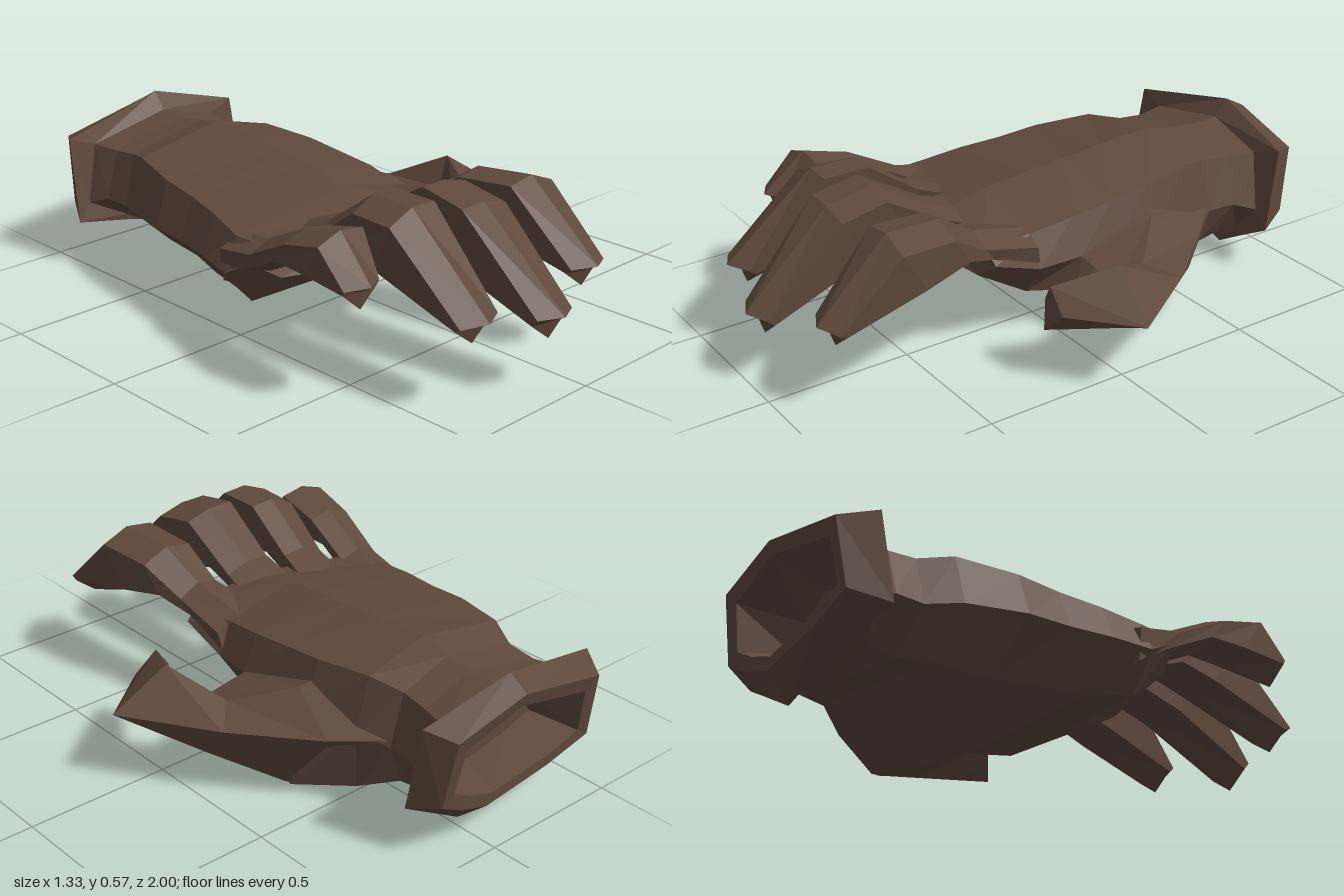
import * as THREE from 'three';

const material = new THREE.MeshStandardMaterial({
  color: 0x5f483d, flatShading: true, roughness: 0.9, side: THREE.DoubleSide,
});

// Skin a closed solid over rings of [x, y, z] points, capped at both ends.
function loft(name, rings) {
  const n = rings[0].length;
  const pos = rings.flat(2);
  const index = [];
  for (let r = 0; r < rings.length - 1; r++) {
    for (let i = 0; i < n; i++) {
      const a = r * n + i, b = r * n + (i + 1) % n;
      index.push(a, b, b + n, a, b + n, a + n);
    }
  }
  [0, rings.length - 1].forEach((r, end) => {
    const c = pos.length / 3;
    for (let k = 0; k < 3; k++) pos.push(rings[r].reduce((s, p) => s + p[k] / n, 0));
    for (let i = 0; i < n; i++) {
      const a = r * n + i, b = r * n + (i + 1) % n;
      index.push(...(end ? [a, b, c] : [b, a, c]));
    }
  });
  // Turn the solid outward if the rings ran the other way.
  const v = (i) => new THREE.Vector3().fromArray(pos, i * 3);
  let volume = 0;
  for (let i = 0; i < index.length; i += 3) {
    volume += v(index[i]).dot(v(index[i + 1]).cross(v(index[i + 2])));
  }
  if (volume < 0) index.reverse();
  const indexed = new THREE.BufferGeometry();
  indexed.setAttribute('position', new THREE.Float32BufferAttribute(pos, 3));
  indexed.setIndex(index);
  const geometry = indexed.toNonIndexed();
  geometry.computeVertexNormals();
  const mesh = new THREE.Mesh(geometry, material);
  mesh.name = name;
  return mesh;
}

// Eight-sided section: gently peaked back of the hand, sides, three points below.
function handRing(z, xL, xR, top, side, bL, bM, bR, { tilt = 0, bow = 0, drop = 0.06, inset = 0.05 } = {}) {
  return [
    [-0.1 + (xL + xR + 0.3) / 4, top], [xR - inset, top - drop], [xR, side],
    bR, bM, bL, [xL, side], [xL + inset, top - drop],
  ].map(([x, y]) => [x, y, z - tilt * y - bow * (x + 0.1) ** 2]);
}

function buildPalm() {
  return loft('palm', [
    handRing(-0.77, -0.44, 0.14, 0.475, 0.25, [-0.30, 0.14], [-0.05, 0.09], [0.06, 0.11]),
    handRing(-0.67, -0.44, 0.13, 0.485, 0.25, [-0.30, 0.13], [-0.05, 0.10], [0.08, 0.11]),
    handRing(-0.56, -0.49, 0.17, 0.51, 0.27, [-0.34, 0.13], [-0.04, 0.06], [0.16, 0.07]),
    handRing(-0.36, -0.545, 0.20, 0.495, 0.28, [-0.37, 0.13], [0.02, 0.0], [0.26, 0.02]),
    handRing(-0.21, -0.56, 0.20, 0.48, 0.28, [-0.42, 0.13], [0.01, 0.03], [0.23, 0.04]),
    handRing(-0.06, -0.59, 0.20, 0.465, 0.28, [-0.46, 0.135], [0.0, 0.14], [0.17, 0.145]),
    handRing(0.10, -0.62, 0.18, 0.44, 0.27, [-0.52, 0.15], [-0.2, 0.15], [0.1, 0.155], { bow: 0.1 }),
    handRing(0.30, -0.61, 0.18, 0.40, 0.33, [-0.52, 0.27], [-0.2, 0.25], [0.1, 0.27], { bow: 0.45, drop: 0.02 }),
  ]);
}

// Wrist end and flared cuff, folding into a deep hollow at the back.
function buildCuff() {
  const flare = { tilt: 0.16, drop: 0.085, inset: 0.01, bow: -0.2 };
  const rim = { tilt: 0.16, drop: 0.07, inset: 0.015 };
  return loft('cuff', [
    handRing(-0.77, -0.44, 0.14, 0.475, 0.25, [-0.30, 0.14], [-0.05, 0.09], [0.06, 0.11]),
    handRing(-0.83, -0.46, 0.17, 0.48, 0.22, [-0.30, 0.14], [-0.03, 0.085], [0.08, 0.12], { tilt: 0.1 }),
    handRing(-0.84, -0.52, 0.235, 0.54, 0.165, [-0.28, 0.11], [0.0, 0.03], [0.12, 0.10], flare),
    handRing(-0.92, -0.455, 0.19, 0.50, 0.20, [-0.28, 0.15], [-0.02, 0.11], [0.1, 0.15], rim),
    handRing(-0.915, -0.41, 0.14, 0.455, 0.23, [-0.27, 0.185], [-0.04, 0.15], [0.06, 0.185], rim),
    handRing(-0.79, -0.36, 0.08, 0.40, 0.25, [-0.24, 0.21], [-0.08, 0.18], [0.0, 0.21]),
  ]);
}

// Each row: x, half width, top z, top y, underside z, underside y.
// The two drops lower the right and left edges of the finger's back.
function buildFinger(name, [dropR, dropL], rows) {
  return loft(name, rows.map(([x, w, zt, yt, zb, yb], i) => {
    const atTip = i === rows.length - 1;
    const tip = atTip ? 0.04 : 0;
    const rise = atTip ? 0.06 : 0.03;
    const flank = atTip ? 0.97 : 0.85;
    return [
      [x - w, yt - dropR * (1 - tip * 20), zt - tip], [x, yt, zt], [x + w, yt - dropL * (1 - tip * 20), zt - tip],
      [x + w * flank, yb + rise, zb], [x, yb, zb], [x - w * flank, yb + rise, zb],
    ];
  }));
}

const FINGERS = {
  indexFinger: [[0.015, 0.04], [
    [0.09, 0.09, 0.10, 0.39, 0.08, 0.22], [0.105, 0.075, 0.30, 0.44, 0.26, 0.32],
    [0.13, 0.095, 0.44, 0.53, 0.38, 0.365], [0.15, 0.10, 0.64, 0.545, 0.55, 0.33],
    [0.165, 0.08, 0.90, 0.31, 0.84, 0.23],
  ]],
  middleFinger: [[0, 0.025], [
    [-0.12, 0.10, 0.14, 0.385, 0.10, 0.20], [-0.12, 0.085, 0.31, 0.445, 0.27, 0.32],
    [-0.13, 0.095, 0.53, 0.57, 0.43, 0.37], [-0.13, 0.098, 0.69, 0.54, 0.60, 0.33],
    [-0.115, 0.08, 1.0, 0.26, 0.94, 0.175],
  ]],
  ringFinger: [[0.04, 0.005], [
    [-0.34, 0.10, 0.12, 0.385, 0.08, 0.20], [-0.35, 0.085, 0.28, 0.44, 0.25, 0.31],
    [-0.36, 0.09, 0.46, 0.565, 0.40, 0.37], [-0.365, 0.095, 0.62, 0.565, 0.54, 0.34],
    [-0.375, 0.08, 0.935, 0.30, 0.87, 0.22],
  ]],
  littleFinger: [[0.03, 0.015], [
    [-0.52, 0.09, 0.04, 0.37, 0.04, 0.20], [-0.545, 0.08, 0.20, 0.40, 0.17, 0.28],
    [-0.565, 0.085, 0.38, 0.49, 0.33, 0.36], [-0.575, 0.09, 0.54, 0.53, 0.47, 0.36],
    [-0.595, 0.07, 0.685, 0.40, 0.64, 0.32],
  ]],
};

// Thumb sections: outer, top, inner and bottom corners, bending forward at the joint.
function buildThumb() {
  return loft('thumb', [
    [[0.12, 0.27, -0.67], [0.08, 0.40, -0.4], [0.10, 0.28, -0.06], [0.1, 0.04, -0.34]],
    [[0.25, 0.25, -0.52], [0.21, 0.35, -0.34], [0.20, 0.28, -0.06], [0.26, 0.02, -0.34]],
    [[0.46, 0.25, -0.27], [0.37, 0.29, -0.18], [0.38, 0.25, -0.06], [0.44, 0.12, -0.17]],
    [[0.66, 0.255, 0.03], [0.47, 0.38, 0.0], [0.43, 0.27, 0.0], [0.52, 0.19, 0.03]],
    [[0.45, 0.25, 0.20], [0.37, 0.32, 0.19], [0.33, 0.26, 0.18], [0.38, 0.18, 0.22]],
  ]);
}

export function createModel() {
  const glove = new THREE.Group();
  glove.name = 'glove';
  glove.add(buildPalm(), buildCuff(), buildThumb());
  for (const [name, [drops, rows]] of Object.entries(FINGERS)) {
    glove.add(buildFinger(name, drops, rows));
  }
  return glove;
}
